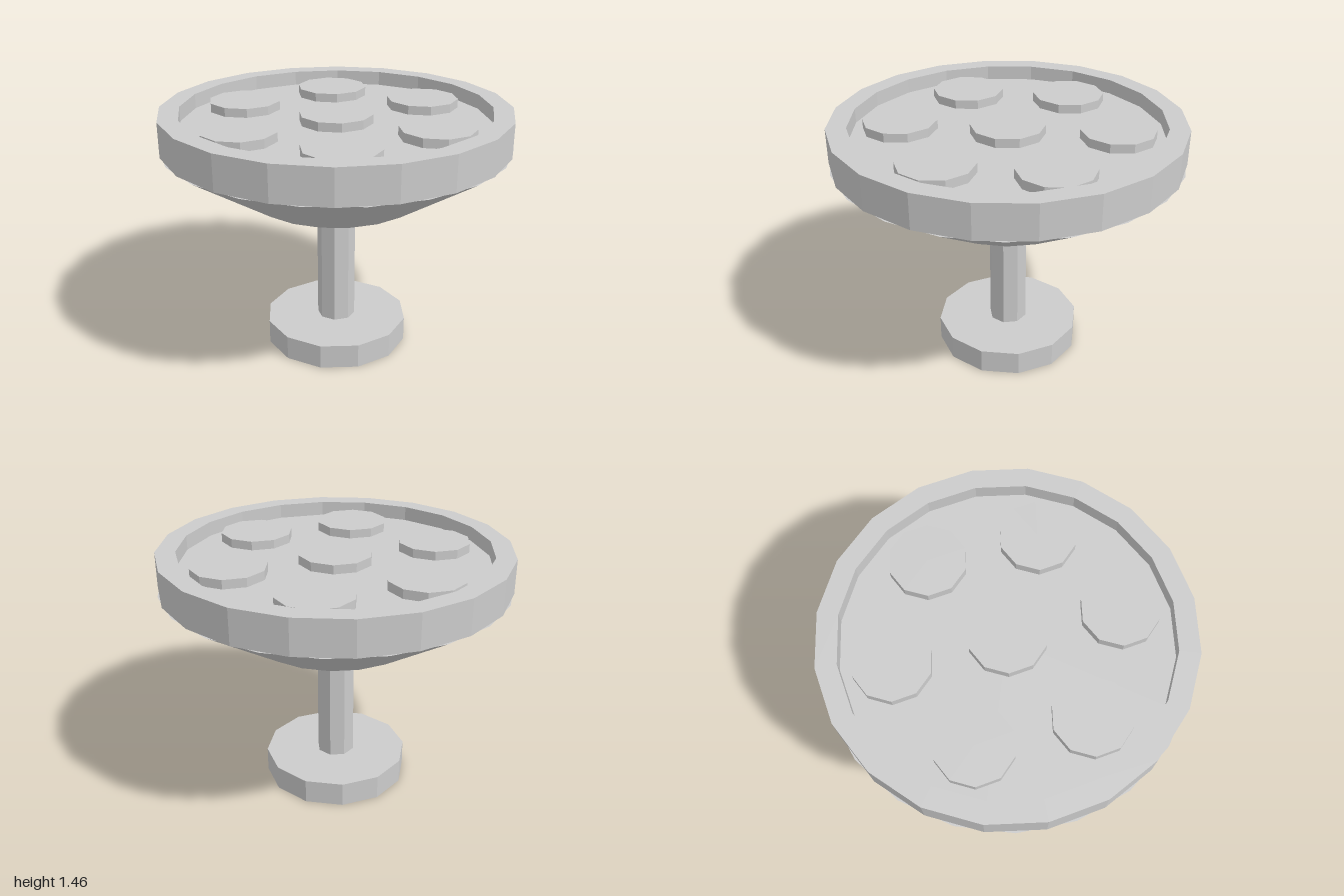
import * as THREE from 'three';

const grey = new THREE.MeshStandardMaterial({ color: 0xcccccc, flatShading: true });
grey.name = 'grey';

export function createModel() {
  const model = new THREE.Group();
  model.name = 'pedestalTray';

  // Faceted cylinder or cone standing between two heights
  function drum(name, rTop, rBottom, y0, y1, sides, turn = 0, x = 0, z = 0) {
    const geometry = new THREE.CylinderGeometry(rTop, rBottom, y1 - y0, sides);
    geometry.rotateY(turn);
    const mesh = new THREE.Mesh(geometry, grey);
    mesh.name = name;
    mesh.position.set(x, (y0 + y1) / 2, z);
    model.add(mesh);
  }

  // Foot, stem and flared underside
  drum('base', 0.428, 0.428, 0, 0.145, 12, Math.PI / 12);
  drum('stem', 0.113, 0.113, 0.145, 0.935, 8, Math.PI / 8);
  drum('bowl', 1, 0.5, 0.935, 1.26, 20);

  // Tray: outer wall, rim, inner wall and recessed floor
  const floorY = 1.375;
  const profile = [
    [0, 1.26], [1, 1.26], [1, 1.46], [0.886, 1.46], [0.886, floorY], [0, floorY],
  ].map(([r, y]) => new THREE.Vector2(r, y));
  const tray = new THREE.Mesh(new THREE.LatheGeometry(profile, 20, Math.PI / 20), grey);
  tray.name = 'tray';
  model.add(tray);

  // One central disc with six around it
  drum('centreDisc', 0.213, 0.213, floorY, 1.427, 10);
  for (let i = 0; i < 6; i++) {
    const a = (i * Math.PI) / 3;
    drum('outerDisc' + (i + 1), 0.213, 0.213, floorY, 1.427, 10, 0,
      0.614 * Math.cos(a), 0.614 * Math.sin(a));
  }

  return model;
}
